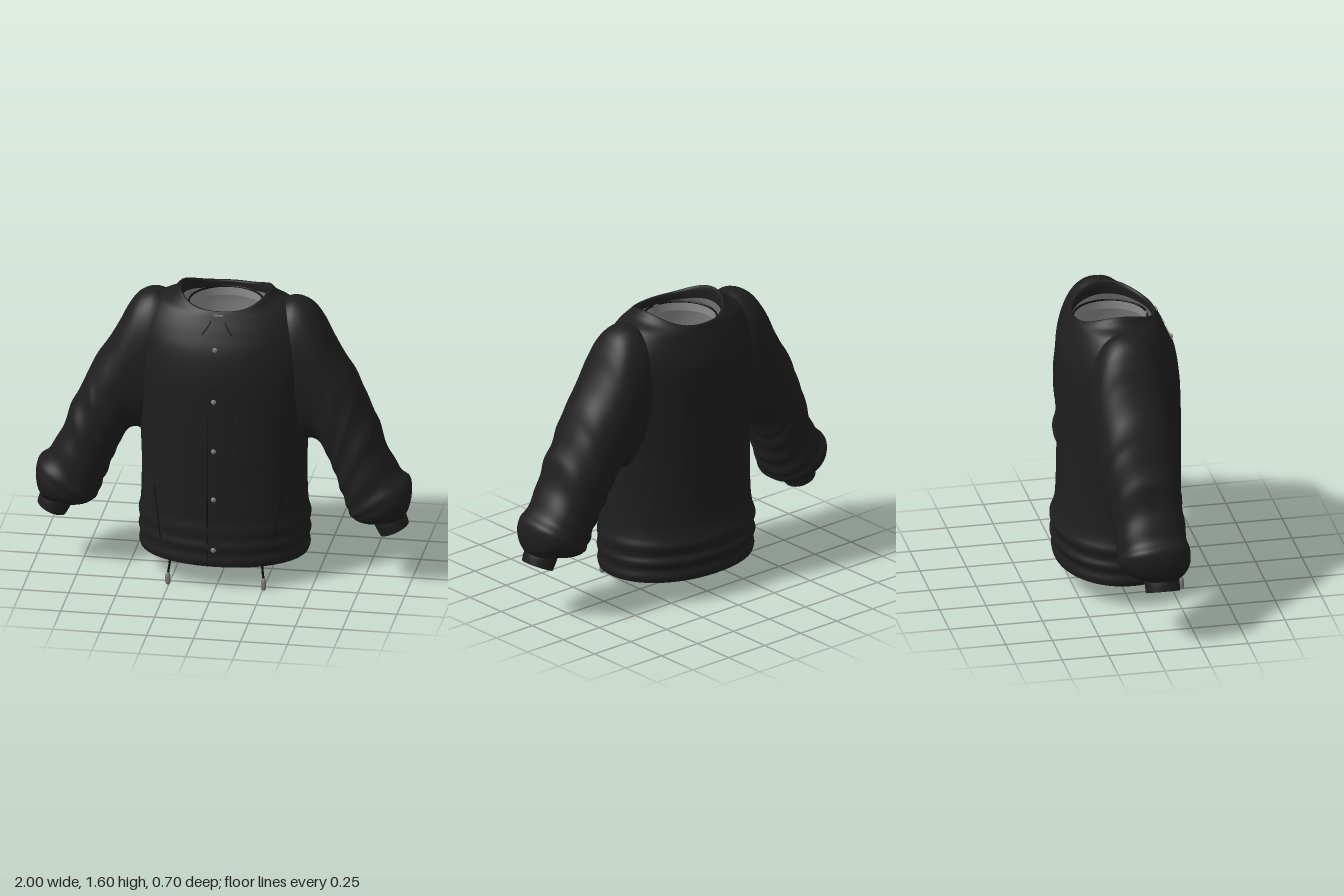
import * as THREE from 'three';

const mat = (name, color, side = THREE.FrontSide) => {
  const m = new THREE.MeshStandardMaterial({ color, side });
  m.name = name;
  return m;
};
const V = (x, y, z) => new THREE.Vector3(x, y, z);
const spline = pts => new THREE.CatmullRomCurve3(pts, false, 'catmullrom', 0.5);
const pw = (v, e) => Math.sign(v) * Math.abs(v) ** e;

// Closed loops joined into a smooth skin; fn(t along, angle around)
function loft(fn, rows, cols, flip = false) {
  const pos = [], idx = [];
  for (let i = 0; i <= rows; i++)
    for (let j = 0; j < cols; j++) pos.push(...fn(i / rows, (j / cols) * Math.PI * 2).toArray());
  for (let i = 0; i < rows; i++)
    for (let j = 0; j < cols; j++) {
      const k = (j + 1) % cols;
      const a = i * cols + j, b = i * cols + k, c = a + cols, d = b + cols;
      if (flip) idx.push(a, b, c, b, d, c);
      else idx.push(a, c, b, b, c, d);
    }
  const g = new THREE.BufferGeometry();
  g.setAttribute('position', new THREE.Float32BufferAttribute(pos, 3));
  g.setIndex(idx);
  g.computeVertexNormals();
  return g;
}

// Horizontal torso rings: [y, rise at the shoulders, half width, front z, back z]
function torso(rings) {
  const a = spline(rings.map(r => V(r[2], r[0], r[3])));
  const b = spline(rings.map(r => V(r[1], 0, r[4])));
  return (t, ang) => {
    const p = a.getPoint(t), q = b.getPoint(t), c = Math.cos(ang), s = Math.sin(ang);
    const mid = (p.z + q.z) / 2, half = (p.z - q.z) / 2;
    return V(p.x * pw(c, 0.95), p.y + q.x * Math.abs(c) ** 3, mid + half * pw(s, 0.95));
  };
}

// Sleeve sections: [outer x, outer y, inner x, inner y, centre z, half depth]
function arm(sections, side, wrinkle = 0, e = 0.88) {
  const a = spline(sections.map(s => V(s[0], s[1], s[4])));
  const b = spline(sections.map(s => V(s[2], s[3], s[5])));
  return (t, ang) => {
    const p = a.getPoint(t), q = b.getPoint(t);
    const fade = Math.max(0, Math.min(1, (t - 0.25) * 4, (0.85 - t) * 8));
    const k = 1 + wrinkle * fade * Math.sin(t * 58 + Math.sin(ang) * 1.5);
    const c = pw(Math.cos(ang), e) * k, s = pw(Math.sin(ang), e) * k;
    return V(side * ((p.x + q.x) / 2 + (p.x - q.x) / 2 * c), (p.y + q.y) / 2 + (p.y - q.y) / 2 * c, p.z + q.z * s);
  };
}

const BODY = [
  [0.13, 0, 0.445, 0.332, -0.328], [0.16, 0, 0.453, 0.338, -0.333], [0.2, 0, 0.447, 0.334, -0.325],
  [0.24, 0, 0.456, 0.342, -0.342], [0.28, 0, 0.449, 0.336, -0.328], [0.33, 0, 0.456, 0.34, -0.342],
  [0.38, 0, 0.445, 0.335, -0.325], [0.45, 0, 0.44, 0.335, -0.312], [0.62, 0, 0.437, 0.335, -0.306],
  [0.8, 0, 0.444, 0.335, -0.304], [1.0, 0, 0.456, 0.332, -0.304], [1.18, 0, 0.465, 0.324, -0.305],
  [1.32, 0, 0.455, 0.3, -0.304], [1.42, 0.01, 0.425, 0.26, -0.28], [1.49, 0.03, 0.36, 0.225, -0.257],
  [1.525, 0.03, 0.285, 0.207, -0.246], [1.532, 0.064, 0.242, 0.2, -0.24],
  [1.525, 0.045, 0.228, 0.188, -0.228], [1.49, 0.03, 0.23, 0.19, -0.23]
];
const LINING = [
  [0.13, 0, 0.443, 0.33, -0.326], [0.3, 0, 0.435, 0.325, -0.315], [0.6, 0, 0.415, 0.32, -0.295],
  [0.85, 0, 0.37, 0.318, -0.29], [1.2, 0, 0.32, 0.305, -0.29], [1.4, 0, 0.28, 0.25, -0.265],
  [1.49, 0.03, 0.232, 0.192, -0.232]
];
const SLEEVE = [
  [0.3, 1.535, 0.38, 0.85, -0.02, 0.19], [0.38, 1.553, 0.4, 0.8, -0.02, 0.2], [0.46, 1.52, 0.43, 0.765, -0.02, 0.2],
  [0.52, 1.44, 0.47, 0.77, -0.02, 0.2], [0.57, 1.34, 0.51, 0.755, -0.015, 0.198], [0.64, 1.22, 0.545, 0.7, -0.01, 0.198],
  [0.705, 1.12, 0.57, 0.645, -0.005, 0.195], [0.74, 1.03, 0.59, 0.6, 0, 0.193], [0.798, 0.92, 0.615, 0.53, 0.01, 0.188],
  [0.835, 0.82, 0.635, 0.48, 0.02, 0.185], [0.88, 0.7, 0.655, 0.43, 0.025, 0.183], [0.94, 0.61, 0.667, 0.39, 0.03, 0.187],
  [0.988, 0.56, 0.685, 0.365, 0.03, 0.19], [0.998, 0.5, 0.71, 0.35, 0.035, 0.18], [0.99, 0.43, 0.75, 0.343, 0.045, 0.145],
  [0.97, 0.38, 0.8, 0.345, 0.06, 0.09]
];
const CUFF = [[0.965, 0.4, 0.79, 0.36, 0.06, 0.088], [0.978, 0.37, 0.812, 0.315, 0.06, 0.092], [0.988, 0.335, 0.838, 0.268, 0.06, 0.09]];
const CUFF_LINING = [[0.988, 0.335, 0.838, 0.268, 0.06, 0.09], [0.972, 0.342, 0.835, 0.285, 0.06, 0.08],
  [0.95, 0.4, 0.81, 0.36, 0.06, 0.078], [0.88, 0.41, 0.86, 0.4, 0.06, 0.01]];

export function createModel() {
  const fabric = mat('black fabric', 0x1e1e1e, THREE.DoubleSide);
  const seam = mat('dark seam', 0x0d0d0d, THREE.DoubleSide);
  const lining = mat('grey lining', 0x8c8c8c, THREE.DoubleSide);
  const metal = mat('grey metal', 0x7c7c7c);
  const model = new THREE.Group();
  model.name = 'jacket';
  const add = (name, geo, material, parent = model) => {
    const m = new THREE.Mesh(geo, material);
    m.name = name;
    parent.add(m);
    return m;
  };

  // Torso shell and its lining
  const body = torso(BODY);
  add('body', loft(body, 130, 96), fabric);
  add('bodyLining', loft(torso(LINING), 40, 64, true), lining);

  // Point on the front of the torso at a given x and y
  const onFront = (x, y, lift = 0) => {
    let lo = 0, hi = 0.88;
    for (let i = 0; i < 24; i++) {
      const m = (lo + hi) / 2;
      if (body(m, Math.PI / 2).y < y) lo = m; else hi = m;
    }
    const hw = body(lo, 0).x;
    const c = Math.abs(x / hw) ** (1 / 0.95);
    const p = body(lo, Math.acos(c));
    return V(x, y, p.z + lift);
  };
  const line = (name, pts, r, material, parent) =>
    add(name, new THREE.TubeGeometry(spline(pts), 24, r, 6), material, parent);

  // Button placket, a thin strip lying on the front
  const placket = new THREE.PlaneGeometry(0.075, 1, 4, 70);
  const pp = placket.attributes.position;
  for (let i = 0; i < pp.count; i++) {
    const p = onFront(pp.getX(i), 0.135 + (pp.getY(i) + 0.5) * 1.375, 0.005);
    pp.setXYZ(i, p.x, p.y, p.z);
  }
  placket.computeVertexNormals();
  add('placket', placket, fabric);
  line('placketSeam', [0.14, 0.35, 0.6, 0.8, 0.98].map(y => onFront(-0.038, y, 0.003)), 0.003, seam);

  // Snap buttons
  for (const y of [1.35, 1.07, 0.79, 0.515, 0.23]) {
    const b = add('button', new THREE.SphereGeometry(0.014, 16, 10), metal);
    b.position.copy(onFront(-0.005, y, 0.006));
    b.scale.z = 0.6;
  }

  // Inner neck band, open at the front
  const gap = 0.1;
  const band = add('neckBand', new THREE.CylinderGeometry(0.195, 0.195, 0.05, 64, 1, true, gap, Math.PI * 2 - 2 * gap), lining);
  band.position.set(0, 1.475, -0.03);
  const trim = add('neckBandTrim', new THREE.TorusGeometry(0.195, 0.005, 8, 64, Math.PI * 2 - 2 * gap), seam);
  trim.rotation.set(Math.PI / 2, 0, Math.PI / 2 + gap);
  trim.position.set(0, 1.5, -0.03);
  add('neckClasp', new THREE.BoxGeometry(0.05, 0.008, 0.008), metal).position.copy(onFront(0, 1.515, 0.004));

  for (const s of [1, -1]) {
    // Sleeve with cuff
    const sleeve = new THREE.Group();
    sleeve.name = s > 0 ? 'leftSleeve' : 'rightSleeve';
    model.add(sleeve);
    add('sleeve', loft(arm(SLEEVE, s, 0.022), 130, 56, s > 0), fabric, sleeve);
    add('cuff', loft(arm(CUFF, s, 0, 1), 10, 40, s > 0), fabric, sleeve);
    add('cuffLining', loft(arm(CUFF_LINING, s, 0, 1), 15, 40, s > 0), lining, sleeve);

    // Collar point creases and slanted pocket
    line('collarCrease', [[0.03, 1.5], [0.05, 1.46], [0.08, 1.42]].map(([x, y]) => onFront(s * x, y, 0.001)), 0.003, seam);
    line('pocketSeam', [0.53, 0.44, 0.34, 0.25].map(y => onFront(s * (0.3 + (y - 0.25) * 0.14), y, 0.001)), 0.003, seam);

    // Drawcord with metal tip
    line('drawcord', [V(s * 0.245, 0.16, 0.282), V(s * 0.247, 0.12, 0.288), V(s * 0.255, 0.06, 0.298)], 0.006, seam);
    const tip = [[0, 0], [0.009, 0.002], [0.014, 0.012], [0.014, 0.05], [0.008, 0.068], [0, 0.07]];
    add('cordTip', new THREE.LatheGeometry(tip.map(([x, y]) => new THREE.Vector2(x, y)), 16), metal)
      .position.set(s * 0.255, 0, 0.298);
  }
  return model;
}
